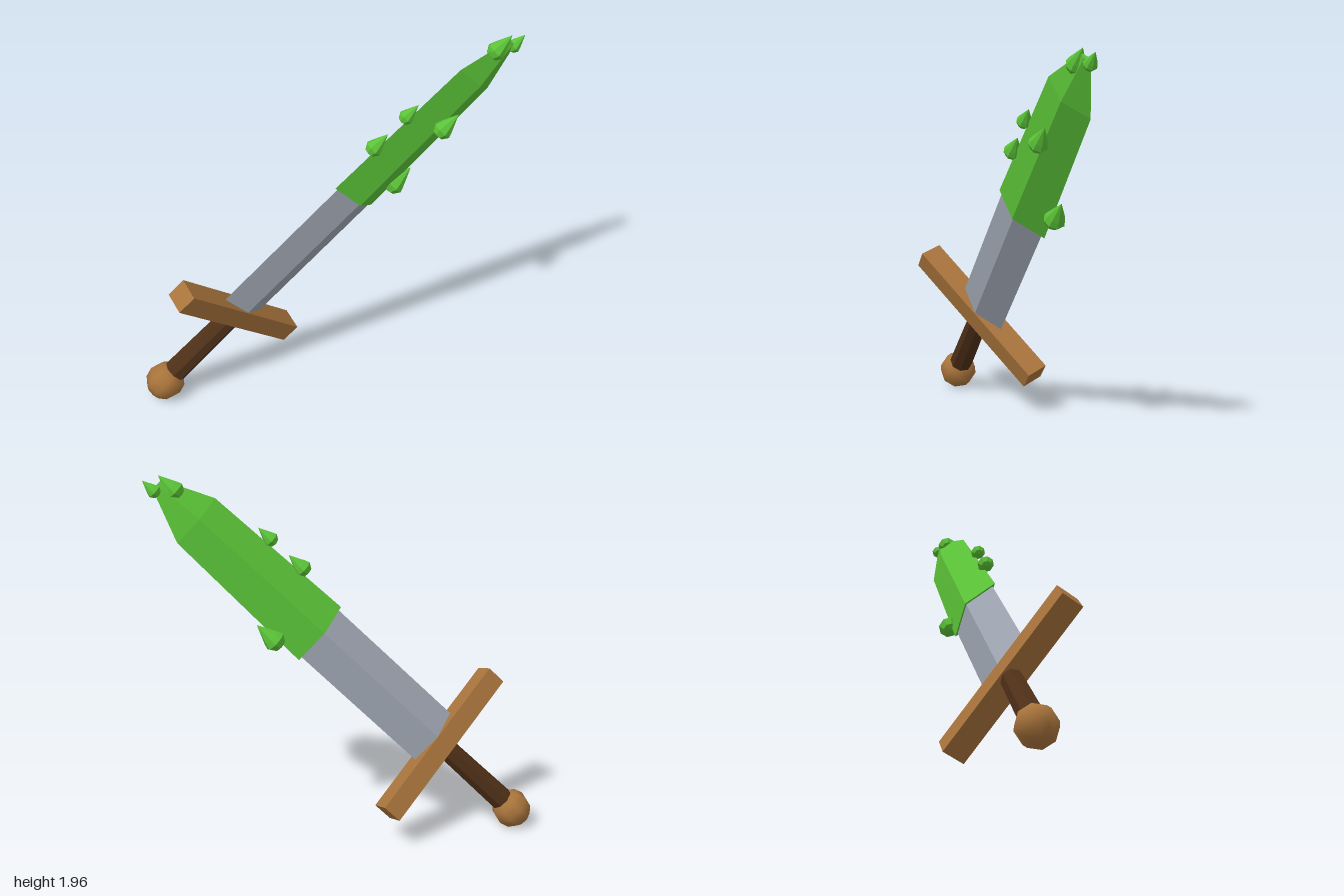
import * as THREE from 'three';

const flat = (name, color) => {
  const m = new THREE.MeshStandardMaterial({ color, flatShading: true });
  m.name = name;
  return m;
};

// Faceted solid of revolution around y from [radius, height] pairs
const lathe = (pairs, sides) =>
  new THREE.LatheGeometry(pairs.map(([r, y]) => new THREE.Vector2(r, y)), sides);

export function createModel() {
  const steel = flat('steel grey', 0x9ca3af);
  const slime = flat('slime green', 0x5ac237);
  const grip = flat('dark brown', 0x4f3018);
  const wood = new THREE.MeshStandardMaterial({ color: 0xa9743c });
  wood.name = 'warm brown';

  const model = new THREE.Group();
  model.name = 'sword';

  // Sword frame: y runs from pommel to tip, x across the blade
  const sword = new THREE.Group();
  sword.name = 'swordBody';
  sword.position.set(-0.9, 0.105, 0);
  sword.rotation.set(0, 0.45, -Math.PI / 4, 'ZYX');
  model.add(sword);

  const add = (name, geometry, material, y = 0) => {
    const mesh = new THREE.Mesh(geometry, material);
    mesh.name = name;
    mesh.position.y = y;
    sword.add(mesh);
    return mesh;
  };

  // Handle
  add('pommel', new THREE.SphereGeometry(0.104, 8, 6), wood);
  add('grip', new THREE.CylinderGeometry(0.057, 0.064, 0.5, 8), grip, 0.31);
  add('guard', new THREE.BoxGeometry(0.94, 0.11, 0.125), wood, 0.566);

  // Diamond-section blade and its green coating
  const blade = lathe([[0, 0.57], [0.158, 0.57], [0.157, 1.5], [0, 1.5]], 4);
  add('blade', blade.scale(1, 1, 0.37), steel);
  const coat = lathe([[0, 1.46], [0.178, 1.46], [0.149, 2.316], [0.033, 2.575], [0, 2.575]], 4);
  add('coatedBlade', coat.scale(1, 1, 0.37), slime);

  // Teardrop spikes, all pointing along the blade: x, y, z, radius
  const spike = lathe([[0, -0.8], [0.62, -0.62], [1, 0], [0.8, 0.55], [0, 2.25]], 8);
  [
    [0.21, 1.46, 0.08, 0.046],
    [0.37, 1.615, 0.08, 0.04],
    [0.56, 1.52, 0.082, 0.051],
    [0.364, 1.13, -0.083, 0.057],
    [0.835, 1.89, 0.012, 0.05],
    [0.934, 1.894, -0.015, 0.036],
  ].forEach(([x, y, z, r], i) => {
    const mesh = new THREE.Mesh(spike, slime);
    mesh.name = `spike${i + 1}`;
    mesh.position.set(x, y, z);
    mesh.rotation.z = -Math.PI / 4;
    mesh.scale.setScalar(r);
    model.add(mesh);
  });

  return model;
}
